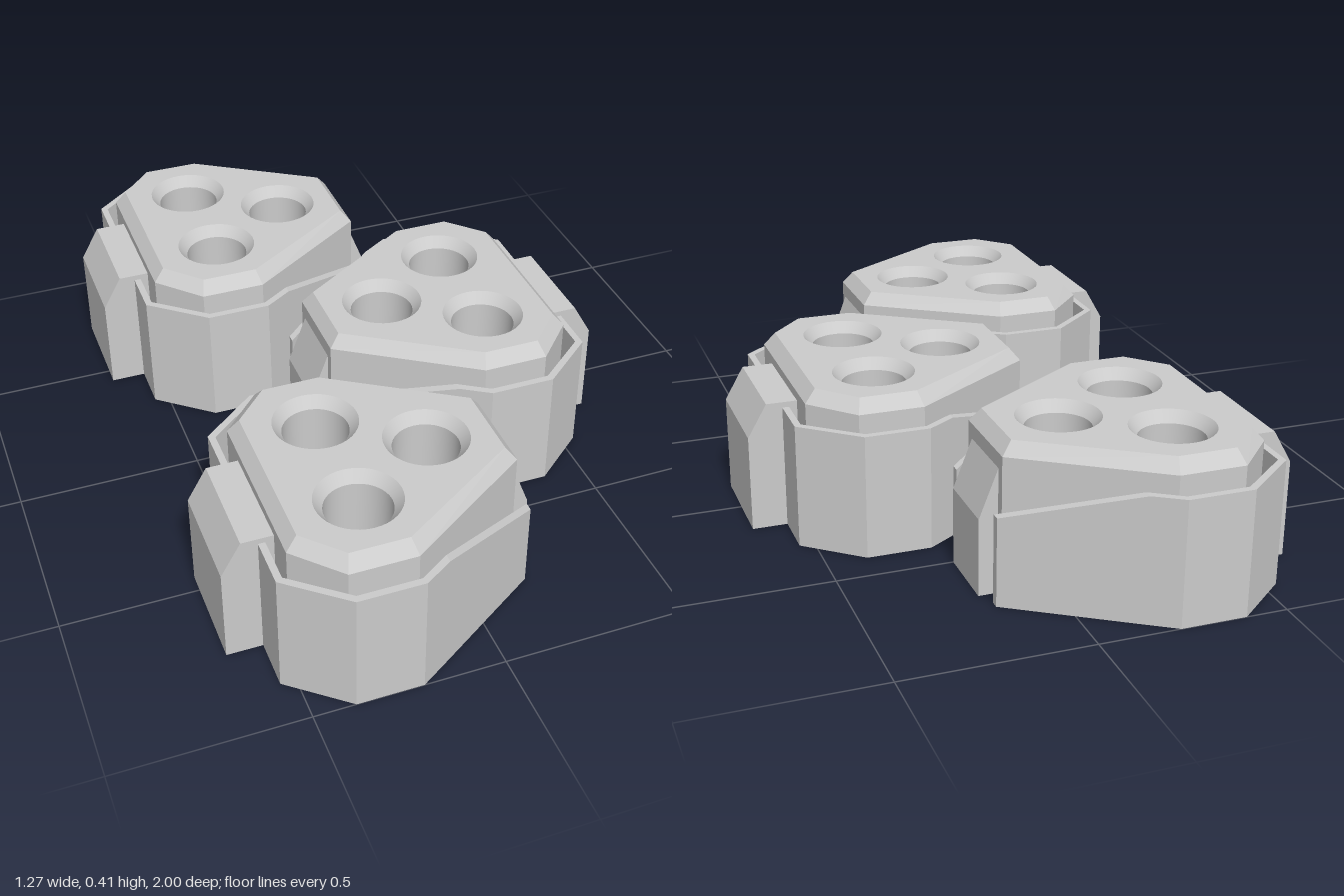
import * as THREE from 'three';
import { toCreasedNormals } from 'three/addons/utils/BufferGeometryUtils.js';

const material = new THREE.MeshStandardMaterial({ color: 0xcccccc, side: THREE.DoubleSide });

function part(name, geometry) {
  const mesh = new THREE.Mesh(geometry, material);
  mesh.name = name;
  return mesh;
}

// Joins closed rings of [x, y, z] points into flat-faced skin; caps suit four-point rings
function loft(rings, caps = false) {
  const out = [];
  const quad = (a, b, c, d) => out.push(...a, ...b, ...c, ...a, ...c, ...d);
  for (let k = 0; k + 1 < rings.length; k++) {
    const r = rings[k], s = rings[k + 1];
    r.forEach((p, i) => {
      const j = (i + 1) % r.length;
      quad(p, r[j], s[j], s[i]);
    });
  }
  if (caps) {
    const end = rings[rings.length - 1];
    quad(...[...rings[0]].reverse());
    quad(...end);
  }
  const g = new THREE.BufferGeometry();
  g.setAttribute('position', new THREE.Float32BufferAttribute(out, 3));
  g.computeVertexNormals();
  return g;
}

// Completes a half outline (z < 0) with its mirror image
const mirrored = (half) => [...half, ...half.map(([x, z]) => [x, -z]).reverse()];
const atHeight = (pts, y) => pts.map(([x, z]) => [x, y, z]);

function shapeOf(pts) {
  return new THREE.Shape(pts.map(([x, y]) => new THREE.Vector2(x, y)));
}

const OUTLINE = mirrored([[0.138, -0.12], [-0.215, -0.355], [-0.39, -0.355], [-0.5, -0.237]]);
const TOP = mirrored([[0.11, -0.105], [-0.225, -0.323], [-0.378, -0.323], [-0.47, -0.225]]);
const WALL_OUT = mirrored([[0.165, -0.16], [-0.14, -0.357], [-0.215, -0.405], [-0.39, -0.405], [-0.54, -0.28]]);
const WALL_IN = mirrored([[0.165, -0.137], [-0.14, -0.334], [-0.22, -0.386], [-0.383, -0.386], [-0.522, -0.271]]);
const WELLS = [[-0.292, -0.155], [-0.292, 0.155], [-0.055, 0]];

function createUnit() {
  const unit = new THREE.Group();

  // Hollow body with a chamfered upper edge
  unit.add(part('bodyShell', loft([atHeight(OUTLINE, 0), atHeight(OUTLINE, 0.38), atHeight(TOP, 0.415)])));

  // Top plate pierced by three round openings
  const plate = shapeOf(TOP);
  for (const [x, z] of WELLS) {
    plate.holes.push(new THREE.Path().absarc(x, -z, 0.11, 0, Math.PI * 2, true));
  }
  const plateGeometry = new THREE.ShapeGeometry(plate, 20);
  plateGeometry.rotateX(-Math.PI / 2);
  plateGeometry.translate(0, 0.415, 0);
  unit.add(part('topPlate', plateGeometry));

  // Deep wells with countersunk rims
  const profile = [[0, 0.1], [0.086, 0.1], [0.086, 0.385], [0.11, 0.415]].map(([r, y]) => new THREE.Vector2(r, y));
  const wellGeometry = toCreasedNormals(new THREE.LatheGeometry(profile, 40), 0.5);
  for (const [x, z] of WELLS) {
    const well = part('well', wellGeometry);
    well.position.set(x, 0, z);
    unit.add(well);
  }

  // Thin free-standing wall, open at the narrow end, where its top slopes down
  const sections = WALL_OUT.map(([x, z], i) => {
    const [u, w] = WALL_IN[i];
    const y = 0.34 - 0.1 * Math.max(0, (x + 0.14) / 0.305);
    return [[x, y, z], [x, 0, z], [u, 0, w], [u, y, w]];
  });
  unit.add(part('outerWall', loft(sections, true)));

  // Latch housing on the wide side, open underneath
  const latch = new THREE.Group();
  latch.name = 'latchHousing';
  const latchProfile = [[-0.5, 0], [-0.5, 0.355], [-0.583, 0.355], [-0.635, 0.265], [-0.635, 0]];
  for (const z of [-0.145, 0.145]) {
    const cheek = part('latchCheek', new THREE.ShapeGeometry(shapeOf(latchProfile)));
    cheek.position.z = z;
    latch.add(cheek);
  }
  const strip = latchProfile.slice(1).map(([x, y]) => [[x, y, 0.145], [x, y, -0.145]]);
  latch.add(part('latchCover', loft(strip)));
  unit.add(latch);

  // Wedge-topped tab on the narrow end
  const tabShape = shapeOf([[0.138, 0], [0.188, 0], [0.188, 0.21], [0.138, 0.34]]);
  const tab = part('frontTab', new THREE.ExtrudeGeometry(tabShape, { depth: 0.19, bevelEnabled: false }));
  tab.position.z = -0.095;
  unit.add(tab);
  return unit;
}

export function createModel() {
  const model = new THREE.Group();
  model.name = 'connectorSet';
  // Two units face +x; the middle one is turned around and nests between them
  const places = [['backUnit', -0.595, 0], ['middleUnit', 0, Math.PI], ['frontUnit', 0.595, 0]];
  for (const [name, z, turn] of places) {
    const unit = createUnit();
    unit.name = name;
    unit.position.z = z;
    unit.rotation.y = turn;
    model.add(unit);
  }
  return model;
}
